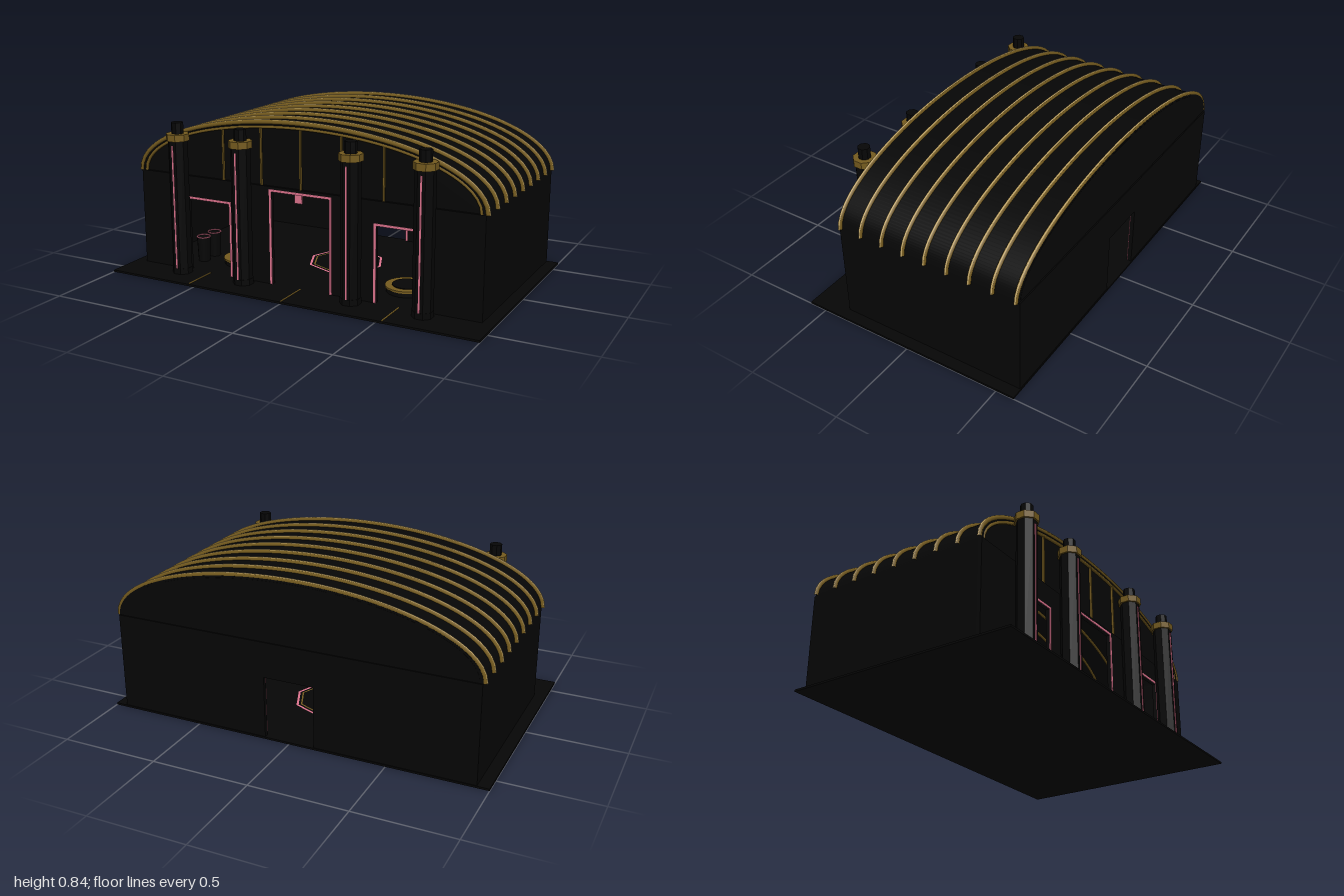
import * as THREE from 'three';

const mat = (name, color) => {
  const m = new THREE.MeshStandardMaterial({ color });
  m.name = name;
  return m;
};

export function createModel() {
  const black = mat('black', 0x060606);
  const gold = mat('gold', 0x765c1f);
  const paleGold = mat('paleGold', 0xbfa364);
  const pink = mat('pink', 0xe27590);
  const model = new THREE.Group();

  const add = (name, geo, material, x = 0, y = 0, z = 0, parent = model) => {
    const mesh = new THREE.Mesh(geo, material);
    mesh.name = name;
    mesh.position.set(x, y, z);
    parent.add(mesh);
    return mesh;
  };
  const box = (name, m, w, h, d, x, y, z, parent) =>
    add(name, new THREE.BoxGeometry(w, h, d), m, x, y, z, parent);
  const octagon = (r, h) => new THREE.CylinderGeometry(r, r, h, 8).rotateY(Math.PI / 8).toNonIndexed();
  const faceted = geo => { geo.computeVertexNormals(); return geo; };
  const extrude = (shape, depth) =>
    new THREE.ExtrudeGeometry(shape, { depth, bevelEnabled: false, curveSegments: 48 });

  const FRONT = 0.397, BACK = -0.59, EAVE = 0.51, BASE = 0.01;
  const ROOM_Z = -0.09;

  // Floor slab with inlaid lines on the forecourt
  box('floor', black, 2, BASE, 1.188, 0, BASE / 2, 0);
  for (const x of [-0.53, 0, 0.53])
    box('floorInlay', gold, 0.007, 0.002, 0.19, x, BASE + 0.001, 0.495);

  // Walls: openings are [centre x, width, height]
  const wall = (name, openings, z) => {
    const s = new THREE.Shape();
    s.moveTo(-0.94, BASE);
    for (const [cx, w, h] of openings) {
      s.lineTo(cx - w / 2, BASE);
      s.lineTo(cx - w / 2, h);
      s.lineTo(cx + w / 2, h);
      s.lineTo(cx + w / 2, BASE);
    }
    s.lineTo(0.94, BASE);
    s.lineTo(0.94, EAVE);
    s.lineTo(-0.94, EAVE);
    add(name, extrude(s, 0.02), black, 0, 0, z);
  };
  const frontOpenings = [[-0.53, 0.245, 0.39], [0, 0.32, 0.485], [0.53, 0.245, 0.39]];
  const backOpenings = [[0, 0.26, 0.328]];
  wall('frontWall', frontOpenings, FRONT - 0.02);
  wall('backWall', backOpenings, BACK);
  for (const s of [-1, 1])
    box('sideWall', black, 0.02, EAVE - BASE, FRONT - BACK - 0.04,
      s * 0.93, (EAVE + BASE) / 2, (FRONT + BACK) / 2);

  // Glowing door frames, as thin plates on the walls
  const frame = ([cx, w, h], z) => {
    const t = 0.012;
    for (const s of [-1, 1])
      box('doorFrameSide', pink, t, h - BASE, 0.003, cx + s * (w / 2 + t / 2), (h + BASE) / 2, z);
    box('doorFrameTop', pink, w + 2 * t, t, 0.003, cx, h + t / 2, z);
  };
  frontOpenings.forEach(o => frame(o, FRONT + 0.0017));
  backOpenings.forEach(o => frame(o, BACK + 0.0217));

  // Vaulted roof shell and end gables
  const arch = new THREE.Shape();
  arch.absellipse(0, EAVE, 0.94, 0.318, 0, Math.PI, false);
  arch.lineTo(-0.92, EAVE);
  arch.absellipse(0, EAVE, 0.92, 0.303, Math.PI, 0, true);
  add('roof', extrude(arch, 0.975), black, 0, 0, -0.583);
  const gable = new THREE.Shape();
  gable.absellipse(0, EAVE, 0.925, 0.308, 0, Math.PI, false);
  add('frontGable', extrude(gable, 0.01), black, 0, 0, 0.372);
  add('backGable', extrude(gable, 0.01), black, 0, 0, -0.584);

  // Roof ribs with a pale crest outside, and slimmer ribs under the shell
  const rib = (a, b, r) => {
    const pts = [];
    for (let i = 0; i <= 40; i++) {
      const t = Math.PI * i / 40;
      pts.push(new THREE.Vector3(a * Math.cos(t), EAVE + b * Math.sin(t), 0));
    }
    return new THREE.TubeGeometry(new THREE.CatmullRomCurve3(pts), 56, r, 6);
  };
  const outerRib = rib(0.946, 0.322, 0.011);
  const crest = rib(0.954, 0.3305, 0.005);
  const innerRib = rib(0.917, 0.298, 0.008);
  for (let i = 0; i < 9; i++) {
    const z = 0.388 - i * 0.1202;
    add('roofRib', outerRib, gold, 0, 0, z);
    add('ribCrest', crest, paleGold, 0, 0, z);
    add('innerRib', innerRib, gold, 0, 0, z);
  }

  // Gable mullions
  for (const x of [-0.44, -0.22, 0, 0.22, 0.44]) {
    const top = EAVE + 0.298 * Math.sqrt(1 - (x / 0.917) ** 2);
    box('gableMullion', gold, 0.008, top - EAVE, 0.012, x, (top + EAVE) / 2, 0.387);
  }

  // Front columns with collar, cap and light strip
  for (const x of [-0.67, -0.3, 0.3, 0.67]) {
    const column = new THREE.Group();
    column.name = 'column';
    column.position.set(x, 0, 0.447);
    model.add(column);
    add('columnBase', faceted(octagon(0.052, 0.03)), black, 0, 0.025, 0, column);
    add('columnShaft', faceted(octagon(0.05, 0.67)), black, 0, 0.365, 0, column);
    add('columnCollar', faceted(octagon(0.059, 0.035)), gold, 0, 0.718, 0, column);
    add('columnCap', faceted(octagon(0.031, 0.06)), black, 0, 0.762, 0, column);
    box('columnLight', pink, 0.008, 0.64, 0.004, 0, 0.36, 0.0475, column);
  }

  // Octagonal floor rings in the middle of the hall
  const ring = (name, r, w, m) =>
    add(name, new THREE.RingGeometry(r - w, r, 8).rotateX(-Math.PI / 2), m, 0, BASE + 0.002, ROOM_Z);
  ring('outerFloorRing', 0.202, 0.012, pink);
  ring('innerFloorRing', 0.178, 0.008, gold);

  // Side furnishings: low round platform, stools and wall light
  const disc = (r, h) => new THREE.CylinderGeometry(r, r, h, 20);
  for (const s of [-1, 1]) {
    add('platform', disc(0.105, 0.022), black, s * 0.47, 0.021, 0.17);
    add('platformTrim', disc(0.11, 0.01), gold, s * 0.47, 0.037, 0.17);
    add('platformTop', disc(0.075, 0.006), black, s * 0.47, 0.043, 0.17);
    for (const z of [0.14, 0.24]) {
      add('stool', new THREE.CylinderGeometry(0.036, 0.03, 0.13, 12), black, s * 0.68, 0.075, z);
      add('stoolRim', new THREE.TorusGeometry(0.035, 0.004, 4, 12).rotateX(Math.PI / 2), pink, s * 0.68, 0.142, z);
    }
    box('wallLight', pink, 0.05, 0.25, 0.008, s * 0.565, 0.265, BACK + 0.025);
  }

  return model;
}
